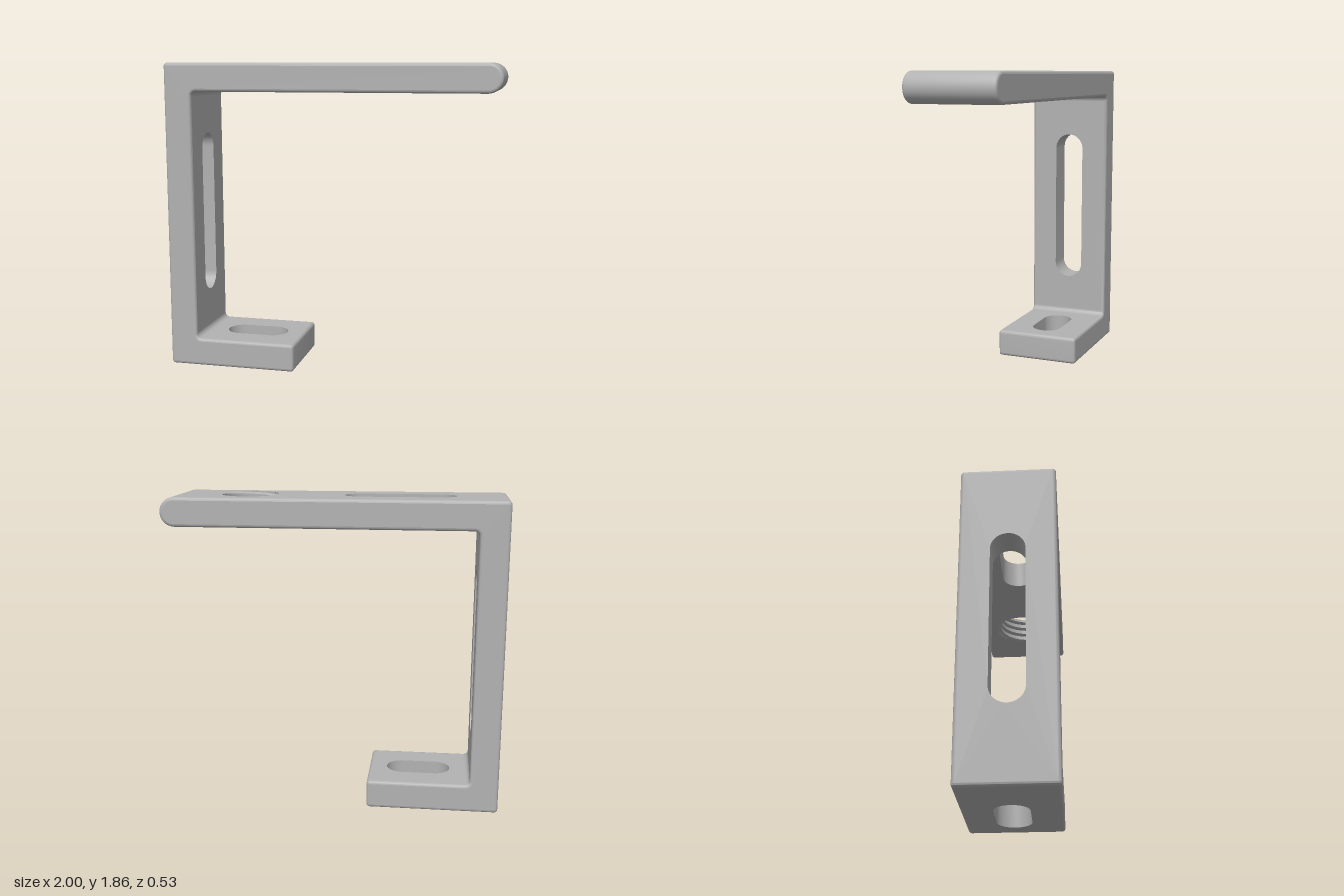
import * as THREE from 'three';
import { toCreasedNormals } from 'three/addons/utils/BufferGeometryUtils.js';

const H = 1.86, T = 0.17, HALF = 0.265; // height, plate thickness, half width
const R = 0.02, F = 0.03, BEVEL = 0.018; // corner radius, inner fillet, side rounding
const FLAT = HALF - BEVEL;
const INNER = -1 + T, FOOT = -0.21, TIP = 1 - T / 2;

// C-shaped side outline, counter-clockwise
function outline() {
  const s = new THREE.Shape(), q = Math.PI / 2;
  s.moveTo(-1 + R, 0);
  s.lineTo(FOOT - R, 0);
  s.absarc(FOOT - R, R, R, -q, 0);
  s.lineTo(FOOT, T - R);
  s.absarc(FOOT - R, T - R, R, 0, q);
  s.lineTo(INNER + F, T);
  s.absarc(INNER + F, T + F, F, -q, -2 * q, true);
  s.lineTo(INNER, H - T - F);
  s.absarc(INNER + F, H - T - F, F, 2 * q, q, true);
  s.lineTo(TIP, H - T);
  s.absarc(TIP, H - T / 2, T / 2, -q, q);
  s.lineTo(-1 + R, H);
  s.absarc(-1 + R, H - R, R, q, 2 * q);
  s.lineTo(-1, R);
  s.absarc(-1 + R, R, R, 2 * q, 3 * q);
  return s;
}

// Keep only the triangles that pass a test
function pick(geometry, test) {
  const p = geometry.attributes.position, out = [];
  for (let i = 0; i < p.count; i += 3) {
    const tri = [0, 1, 2].map(k => new THREE.Vector3().fromBufferAttribute(p, i + k));
    if (test(tri)) tri.forEach(v => out.push(v.x, v.y, v.z));
  }
  return fromPositions(out);
}

function fromPositions(list) {
  const g = new THREE.BufferGeometry();
  g.setAttribute('position', new THREE.Float32BufferAttribute(list, 3));
  g.computeVertexNormals();
  return g;
}

// Inward-facing wall through a list of rings, from the outer face down
function wall(rows) {
  const out = [];
  for (let j = 0; j < rows.length - 1; j++) {
    for (let i = 0; i < rows[j].length - 1; i++) {
      const a = rows[j][i], b = rows[j][i + 1], c = rows[j + 1][i], d = rows[j + 1][i + 1];
      for (const v of [a, b, c, b, d, c]) out.push(v.x, v.y, v.z);
    }
  }
  return toCreasedNormals(fromPositions(out), 0.5);
}

// Round-ended slot between u0 and u1
function slot(name, u0, u1, r = 0.095) {
  const pts = [];
  for (const [u, start] of [[u1 - r, -Math.PI / 2], [u0 + r, Math.PI / 2]]) {
    for (let i = 0; i <= 20; i++) {
      const a = start + Math.PI * i / 20;
      pts.push(new THREE.Vector2(u + r * Math.cos(a), r * Math.sin(a)));
    }
  }
  pts.push(pts[0].clone());
  const rows = [0, -T].map(w => pts.map(p => new THREE.Vector3(p.x, p.y, w)));
  return { name, ring: () => pts, rows };
}

// Round hole with a helical thread
function threadedHole(name, u, minor, major, pitch) {
  const N = 72, PHASE = 0.45, steps = [0.8, 0.6, 0.4, 0];
  const radius = (w, a) => {
    const t = w / pitch - a / (2 * Math.PI) + PHASE;
    const f = t - Math.floor(t);
    const depth = f < 0.4 ? 0 : f < 0.6 ? (f - 0.4) / 0.2 : f < 0.8 ? 1 : (1 - f) / 0.2;
    return minor + (major - minor) * depth;
  };
  const circle = level => Array.from({ length: N + 1 }, (_, i) => {
    const a = 2 * Math.PI * i / N, w = level(a), r = radius(w, a);
    return new THREE.Vector3(u + r * Math.cos(a), r * Math.sin(a), w);
  });
  const rows = [circle(() => 0)];
  for (let n = 1; n > -T / pitch - 2; n--) {
    for (const s of steps) {
      rows.push(circle(a => THREE.MathUtils.clamp(
        pitch * (n + s - PHASE + a / (2 * Math.PI)), -T, 0)));
    }
  }
  rows.push(circle(() => -T));
  const ring = w => circle(() => w).map(p => new THREE.Vector2(p.x, p.y));
  return { name, ring, rows };
}

// Flat face with openings, at height w of the arm's own frame
function panel(u0, u1, w, holes) {
  const s = new THREE.Shape([[u0, -FLAT], [u1, -FLAT], [u1, FLAT], [u0, FLAT]]
    .map(p => new THREE.Vector2(...p)));
  for (const h of holes) s.holes.push(new THREE.Path(h.ring(w).slice(0, -1)));
  const g = new THREE.ShapeGeometry(s);
  if (w < 0) {
    g.index.array.reverse();
    g.computeVertexNormals();
  }
  return g.translate(0, 0, w);
}

export function createModel() {
  const model = new THREE.Group();
  model.name = 'bracket';
  const metal = new THREE.MeshStandardMaterial({ color: 0xb2b2b2 });
  metal.name = 'grey';
  const add = (parent, name, geometry) => {
    const m = new THREE.Mesh(geometry, metal);
    m.name = name;
    parent.add(m);
  };

  // Side faces and rounded edges; the long flat walls are replaced by panels
  let body = new THREE.ExtrudeGeometry(outline(), {
    depth: 2 * FLAT, curveSegments: 10, bevelSegments: 5,
    bevelThickness: BEVEL, bevelSize: BEVEL, bevelOffset: -BEVEL,
  }).translate(0, 0, -FLAT);
  if (body.index) body = body.toNonIndexed();
  const isSide = t => t.every(v => Math.abs(v.z) > HALF - 1e-4);
  const isLongWall = t => t.every(v => Math.abs(v.z) < FLAT + 1e-4) &&
    Math.max(Math.hypot(t[0].x - t[1].x, t[0].y - t[1].y),
      Math.hypot(t[0].x - t[2].x, t[0].y - t[2].y)) > 0.3;
  add(model, 'sideFaces', pick(body, isSide));
  add(model, 'roundedEdges',
    toCreasedNormals(pick(body, t => !isSide(t) && !isLongWall(t)), 0.5));

  // Arms: u runs along the arm, v across it, w points outward
  const X = new THREE.Vector3(1, 0, 0), Y = new THREE.Vector3(0, 1, 0), Z = new THREE.Vector3(0, 0, 1);
  const arms = [
    { name: 'topArm', axes: [X, Z.clone().negate(), Y], at: [0, H, 0],
      outer: [-1 + R, TIP], inner: [INNER + F, TIP],
      holes: [slot('topSlot', -0.7, -0.05), threadedHole('threadedHole', 0.52, 0.163, 0.185, 0.048)] },
    { name: 'backPlate', axes: [Y, Z.clone().negate(), X.clone().negate()], at: [-1, 0, 0],
      outer: [R, H - R], inner: [T + F, H - T - F],
      holes: [slot('backSlot', 0.43, 1.43)] },
    { name: 'foot', axes: [X, Z, Y.clone().negate()], at: [0, 0, 0],
      outer: [-1 + R, FOOT - R], inner: [INNER + F, FOOT - R],
      holes: [slot('footSlot', -0.71, -0.32)] },
  ];
  for (const { name, axes, at, outer, inner, holes } of arms) {
    const arm = new THREE.Group();
    arm.name = name;
    arm.quaternion.setFromRotationMatrix(new THREE.Matrix4().makeBasis(...axes));
    arm.position.set(...at);
    add(arm, name + 'OuterFace', panel(...outer, 0, holes));
    add(arm, name + 'InnerFace', panel(...inner, -T, holes));
    for (const h of holes) add(arm, h.name, wall(h.rows));
    model.add(arm);
  }
  return model;
}
